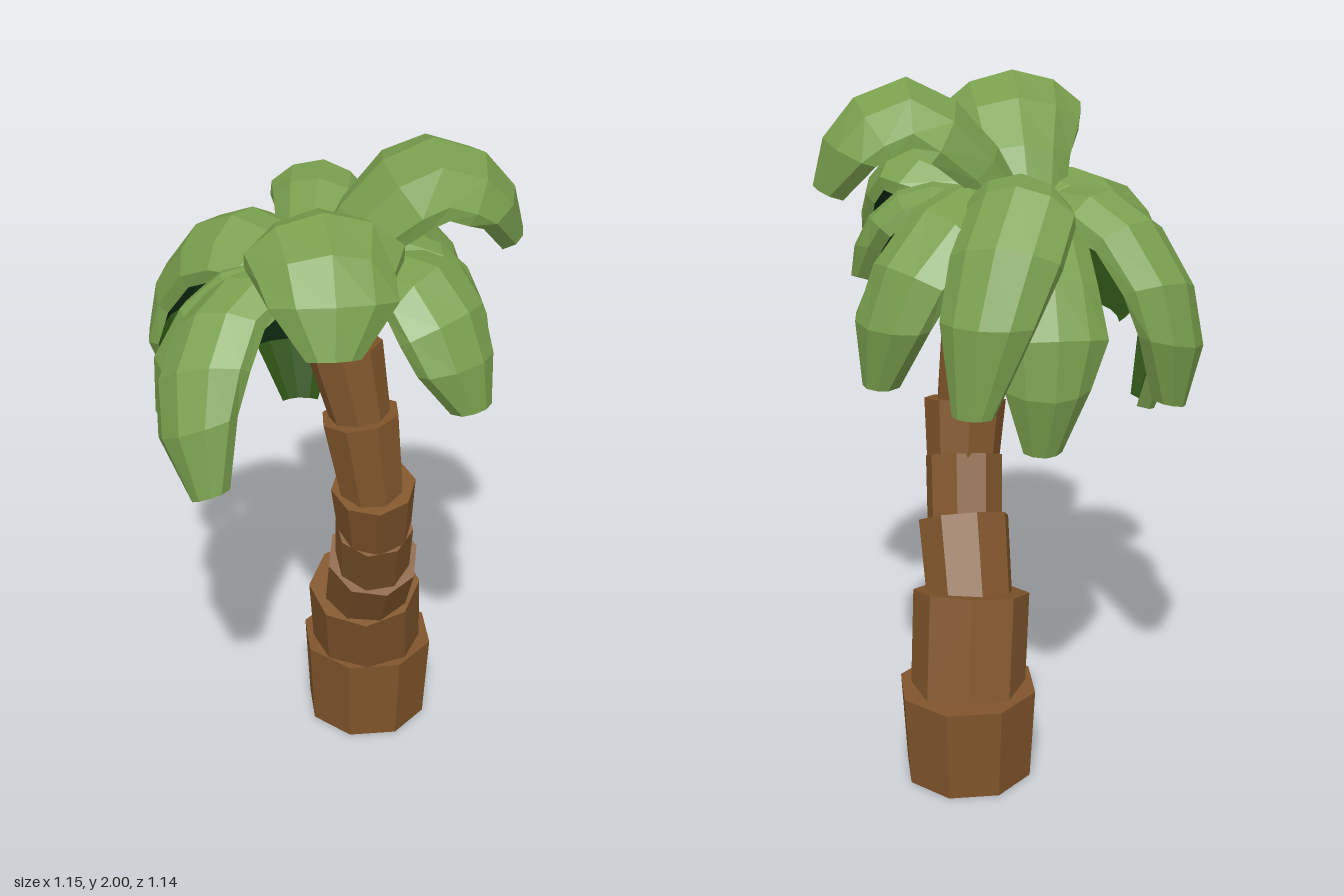
import * as THREE from 'three';

const mat = (name, color) => {
  const m = new THREE.MeshStandardMaterial({ color, flatShading: true });
  m.name = name;
  return m;
};

const V = (p) => new THREE.Vector3(...p);
const ROOT = [-0.03, 1.64, 0.01];

// Arched frond: a thick, drooping strip swept along a spine, pale above and dark beneath
function frondGeometry(spine, halfWidth, roll, rand) {
  const curve = new THREE.CatmullRomCurve3([ROOT, ...spine].map(V));
  const dir = V(spine[spine.length - 1]).sub(V(ROOT)).setY(0).normalize();
  const side = dir.clone().cross(new THREE.Vector3(0, 1, 0));
  side.y -= roll;
  side.normalize();
  const widths = [0.55, 0.9, 1.05, 1.06, 1.02, 0.86, 0.38];
  const across = [-1, -0.6, 0, 0.6, 1];
  const drop = [0.53, 0.17, 0, 0.17, 0.53];
  const rows = widths.length - 1;

  // Closed ten-point cross-sections: five on top, five beneath
  const rings = widths.map((w, i) => {
    const c = curve.getPoint(i / rows);
    const n = side.clone().cross(curve.getTangent(i / rows)).normalize();
    const left = halfWidth * w * (0.88 + 0.24 * rand());
    const right = halfWidth * w * (0.88 + 0.24 * rand());
    const at = (j, thick) => c.clone()
      .addScaledVector(side, across[j] * (across[j] < 0 ? left : right))
      .addScaledVector(n, -drop[j] * halfWidth * w - thick);
    const top = across.map((_, j) => at(j, 0));
    const under = across.map((_, j) => at(j, 0.038)).reverse();
    return [...top, ...under];
  });

  // Faces by colour: upper side and rim, underside, underside of the tip
  const faces = [[], [], []];
  const quad = (out, a, b, c, d) => {
    for (const p of [a, b, c, b, d, c]) out.push(p.x, p.y, p.z);
  };
  for (let i = 0; i < rows; i++) {
    for (let k = 0; k < 10; k++) {
      const l = (k + 1) % 10;
      const beneath = k > 4 && k < 9;
      const colour = !beneath ? 0 : i < rows - 1 ? 1 : 2;
      quad(faces[colour], rings[i][k], rings[i][l], rings[i + 1][k], rings[i + 1][l]);
    }
  }
  // Blunt tip
  const tip = rings[rows];
  for (let j = 0; j < 4; j++) quad(faces[0], tip[j], tip[j + 1], tip[9 - j], tip[8 - j]);

  const g = new THREE.BufferGeometry();
  g.setAttribute('position', new THREE.Float32BufferAttribute(faces.flat(), 3));
  let start = 0;
  faces.forEach((f, i) => {
    g.addGroup(start, f.length / 3, i);
    start += f.length / 3;
  });
  g.computeVertexNormals();
  return g;
}

export function createModel() {
  const model = new THREE.Group();
  const bark = mat('bark brown', 0x80552b);
  const leaf = mat('leaf green', 0x7aa04e);
  const mid = mat('moss green', 0x2f5416);
  const shade = mat('deep green', 0x0e2811);
  let seed = 7;
  const rand = () => (seed = (seed * 16807) % 2147483647) / 2147483647;

  // Tapered eight-sided segment between two centres
  const segment = (name, a, b, rb, rt, turn, materials) => {
    const p = V(a), axis = V(b).sub(p);
    const g = new THREE.CylinderGeometry(rt, rb, axis.length(), 8);
    g.rotateY(turn);
    const m = new THREE.Mesh(g, materials);
    m.quaternion.setFromUnitVectors(new THREE.Vector3(0, 1, 0), axis.clone().normalize());
    m.position.copy(p).addScaledVector(axis, 0.5);
    m.name = name;
    return m;
  };

  // Trunk: upright base, then stacked flaring segments [bottom centre, top centre, bottom radius, top radius]
  const trunk = new THREE.Group();
  trunk.name = 'trunk';
  trunk.add(segment('trunkBase', [-0.018, 0, -0.265], [-0.018, 0.275, -0.265], 0.187, 0.203, Math.PI / 8, [bark, bark, shade]));
  const segments = [
    [[-0.015, 0.24, -0.26], [0.03, 0.525, -0.185], 0.165, 0.168],
    [[0.03, 0.48, -0.19], [0.122, 0.705, -0.105], 0.128, 0.136],
    [[0.115, 0.67, -0.11], [0.172, 0.87, -0.042], 0.11, 0.113],
    [[0.172, 0.855, -0.045], [0.195, 1.03, -0.005], 0.106, 0.12],
    [[0.195, 0.98, -0.005], [0.155, 1.25, 0.008], 0.09, 0.112],
    [[0.165, 1.2, 0.005], [0.1, 1.44, 0.01], 0.08, 0.106],
  ];
  segments.forEach(([a, b, rb, rt], i) => {
    trunk.add(segment('trunkSegment', a, b, rb, rt, Math.PI / 8 + (i + 1) * 0.3, bark));
  });
  model.add(trunk);

  // Crown: dark hub and fronds [name, half width, spine from root to tip, roll]
  const crown = new THREE.Group();
  crown.name = 'crown';
  crown.add(segment('crownHub', [0.1, 1.43, 0.01], [0.01, 1.66, 0.01], 0.075, 0.1, 0, shade));
  const fronds = [
    ['frontFrond', 0.14, [[-0.09, 1.69, 0.19], [-0.09, 1.63, 0.39], [-0.03, 1.45, 0.55], [0.06, 1.2, 0.565]], 0.5],
    ['frontLeftFrond', 0.175, [[0.07, 1.85, 0.1], [0.22, 1.95, 0.25], [0.37, 1.86, 0.39], [0.415, 1.68, 0.445]]],
    ['backLeftFrond', 0.2, [[0.06, 1.88, -0.1], [0.21, 2.0, -0.22], [0.34, 1.9, -0.37], [0.37, 1.72, -0.425]]],
    ['backFrond', 0.145, [[-0.02, 1.74, -0.18], [-0.01, 1.71, -0.4], [0.03, 1.5, -0.57], [0.08, 1.24, -0.55]]],
    ['backRightFrond', 0.135, [[-0.13, 1.77, -0.15], [-0.24, 1.79, -0.32], [-0.3, 1.58, -0.52], [-0.27, 1.23, -0.555]]],
    ['rightFrond', 0.14, [[-0.22, 1.73, 0.02], [-0.42, 1.66, 0.025], [-0.57, 1.42, 0.025], [-0.535, 1.16, 0.03]], -0.25],
    ['leftFrond', 0.15, [[0.2, 1.75, 0.01], [0.4, 1.77, 0.01], [0.54, 1.61, 0.015], [0.575, 1.42, 0.02]]],
    ['lowFrontRightFrond', 0.135, [[-0.15, 1.66, 0.13], [-0.28, 1.53, 0.25], [-0.35, 1.3, 0.31], [-0.29, 1.04, 0.265]]],
    ['lowBackRightFrond', 0.135, [[-0.15, 1.66, -0.11], [-0.28, 1.53, -0.21], [-0.35, 1.3, -0.28], [-0.29, 1.04, -0.255]]],
    ['lowBackLeftFrond', 0.12, [[0.13, 1.71, -0.13], [0.26, 1.68, -0.21], [0.36, 1.56, -0.26], [0.385, 1.43, -0.27]], 0.35],
  ];
  for (const [name, halfWidth, spine, roll = 0] of fronds) {
    const m = new THREE.Mesh(frondGeometry(spine, halfWidth, roll, rand), [leaf, shade, mid]);
    m.name = name;
    crown.add(m);
  }
  model.add(crown);
  return model;
}
